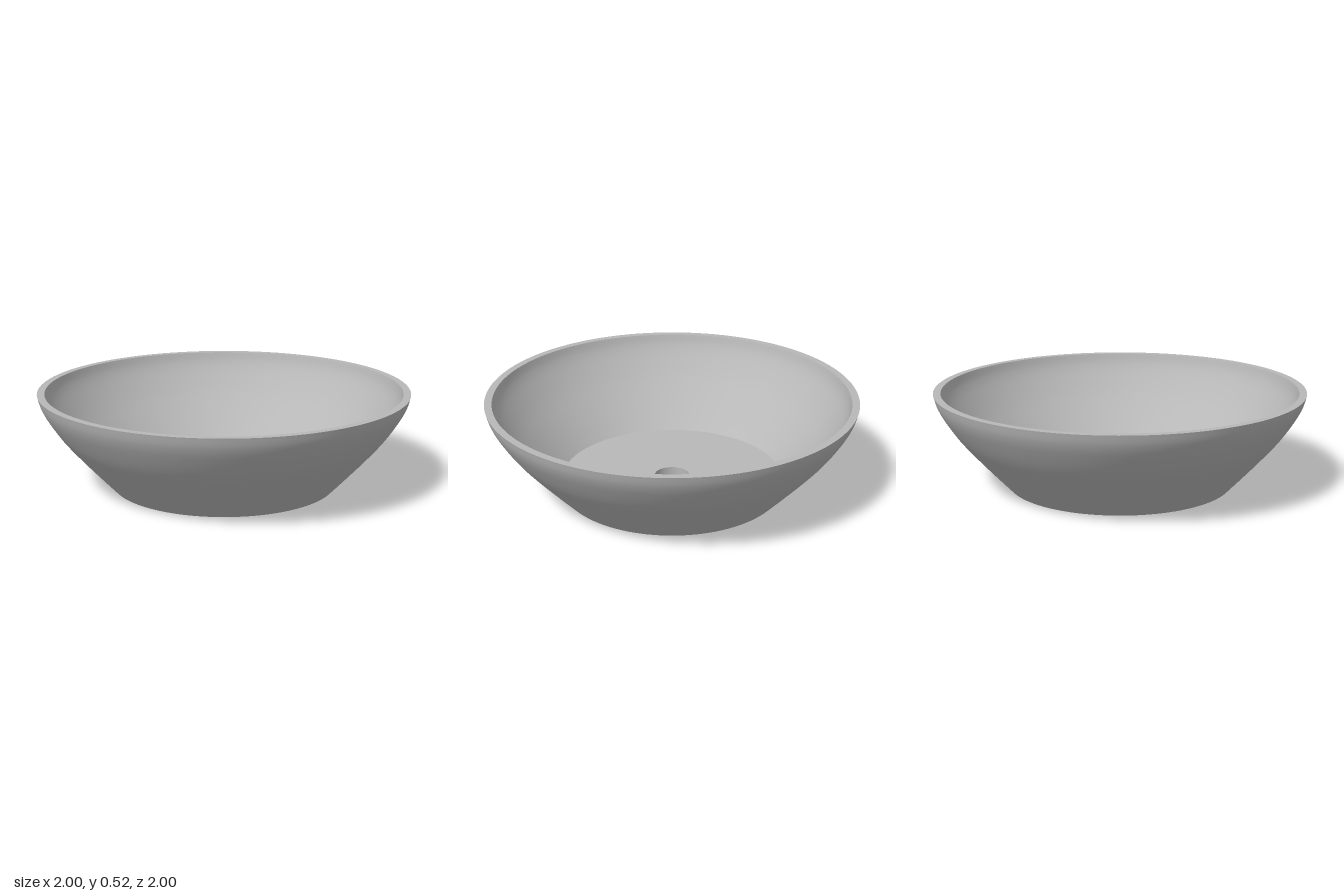
import * as THREE from 'three';

const HEIGHT = 0.52, FLOOR = 0.045, SEGMENTS = 128;

// Smooth profile through a few [radius, height] points
function profile(points) {
  return new THREE.SplineCurve(points.map(([r, y]) => new THREE.Vector2(r, y))).getPoints(40);
}

export function createModel() {
  const group = new THREE.Group();
  group.name = 'bowl';
  const grey = new THREE.MeshStandardMaterial({ color: 0xb8b8b8 });
  grey.name = 'grey';

  const add = (name, geometry) => {
    const mesh = new THREE.Mesh(geometry, grey);
    mesh.name = name;
    group.add(mesh);
    return mesh;
  };

  // Outer wall: straight flare at the foot, curving upright at the rim
  add('outerWall', new THREE.LatheGeometry(profile([
    [0.61, 0], [0.705, 0.1], [0.797, 0.2], [0.882, 0.3], [0.95, 0.4], [0.984, 0.465], [1, HEIGHT],
  ]), SEGMENTS));

  // Inner wall, listed downward so it faces inward
  add('innerWall', new THREE.LatheGeometry(profile([
    [0.96, HEIGHT], [0.943, 0.465], [0.907, 0.4], [0.836, 0.3], [0.75, 0.2], [0.658, 0.1], [0.605, FLOOR],
  ]), SEGMENTS));

  // Flat rim
  add('rim', new THREE.LatheGeometry(
    [new THREE.Vector2(1, HEIGHT), new THREE.Vector2(0.96, HEIGHT)], SEGMENTS));

  // Floor plate with a centre hole and two small side holes
  const plate = new THREE.Shape().absarc(0, 0, 0.61, 0, Math.PI * 2);
  for (const [x, radius] of [[0, 0.095], [-0.407, 0.037], [0.407, 0.037]]) {
    plate.holes.push(new THREE.Path().absarc(x, 0, radius, 0, Math.PI * 2, true));
  }
  const floor = new THREE.ExtrudeGeometry(plate, {
    depth: FLOOR, bevelEnabled: false, curveSegments: SEGMENTS / 2,
  });
  add('floor', floor.rotateX(-Math.PI / 2));

  return group;
}
